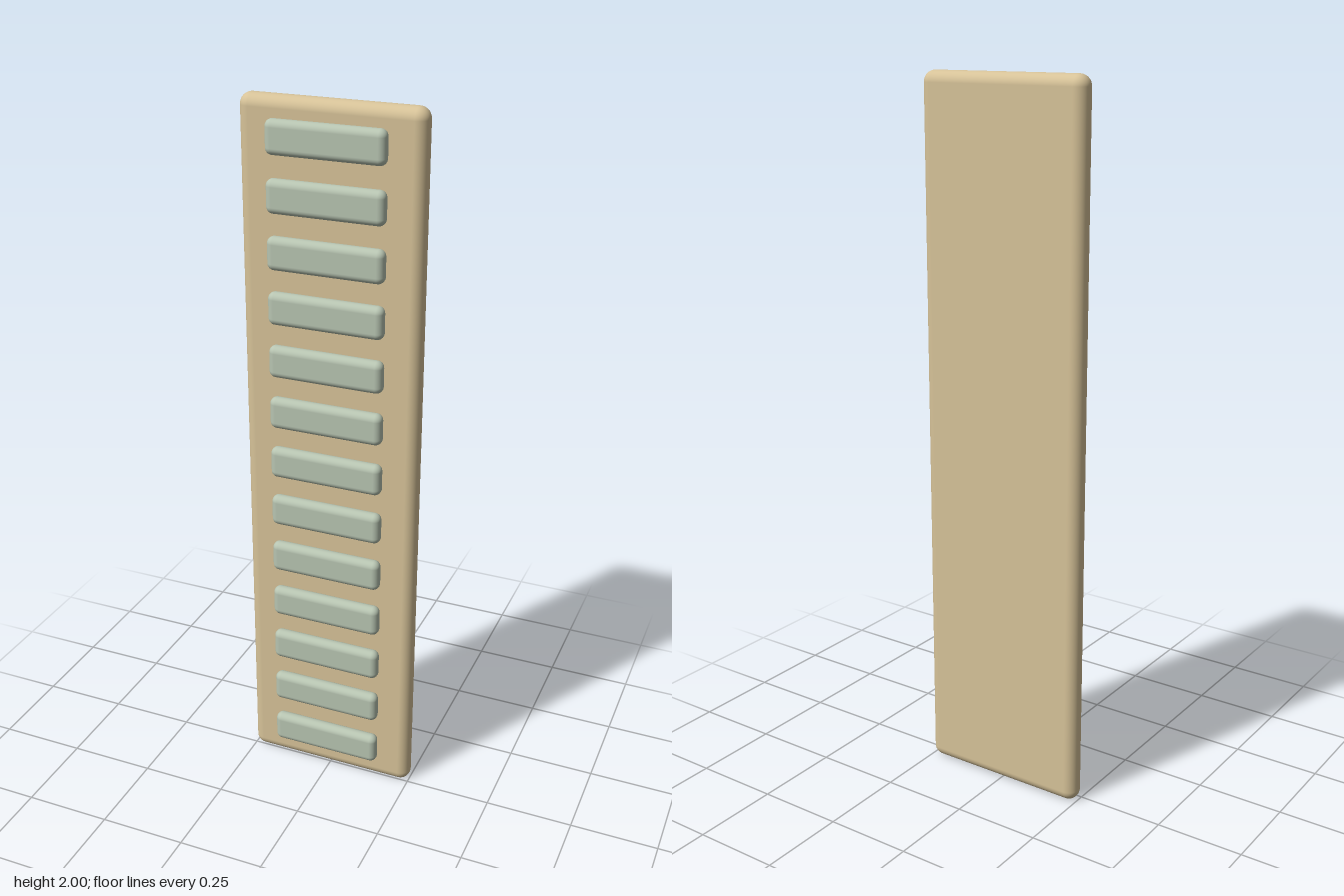
import * as THREE from 'three';
import { RoundedBoxGeometry } from 'three/addons/geometries/RoundedBoxGeometry.js';

export function createModel() {
  const model = new THREE.Group();
  model.name = 'slattedPanel';

  const tan = new THREE.MeshStandardMaterial({ color: 0xd6c298 });
  tan.name = 'tan';
  const sage = new THREE.MeshStandardMaterial({ color: 0xb7c4b1 });
  sage.name = 'sage';

  // Tall backing board with fully rounded edges
  const board = new THREE.Mesh(new RoundedBoxGeometry(0.502, 2, 0.063, 6, 0.031), tan);
  board.name = 'board';
  board.position.set(0, 1, -0.02);
  model.add(board);

  // Evenly spaced row of rounded slats on the front face
  const slats = new THREE.Group();
  slats.name = 'slats';
  const slatGeometry = new RoundedBoxGeometry(0.323, 0.09, 0.039, 6, 0.019);
  const count = 13;
  const spacing = 0.1488;
  for (let i = 0; i < count; i++) {
    const slat = new THREE.Mesh(slatGeometry, sage);
    slat.name = `slat${i + 1}`;
    slat.position.set(0, 1.012 + (i - (count - 1) / 2) * spacing, 0.0315);
    slats.add(slat);
  }
  model.add(slats);

  return model;
}
